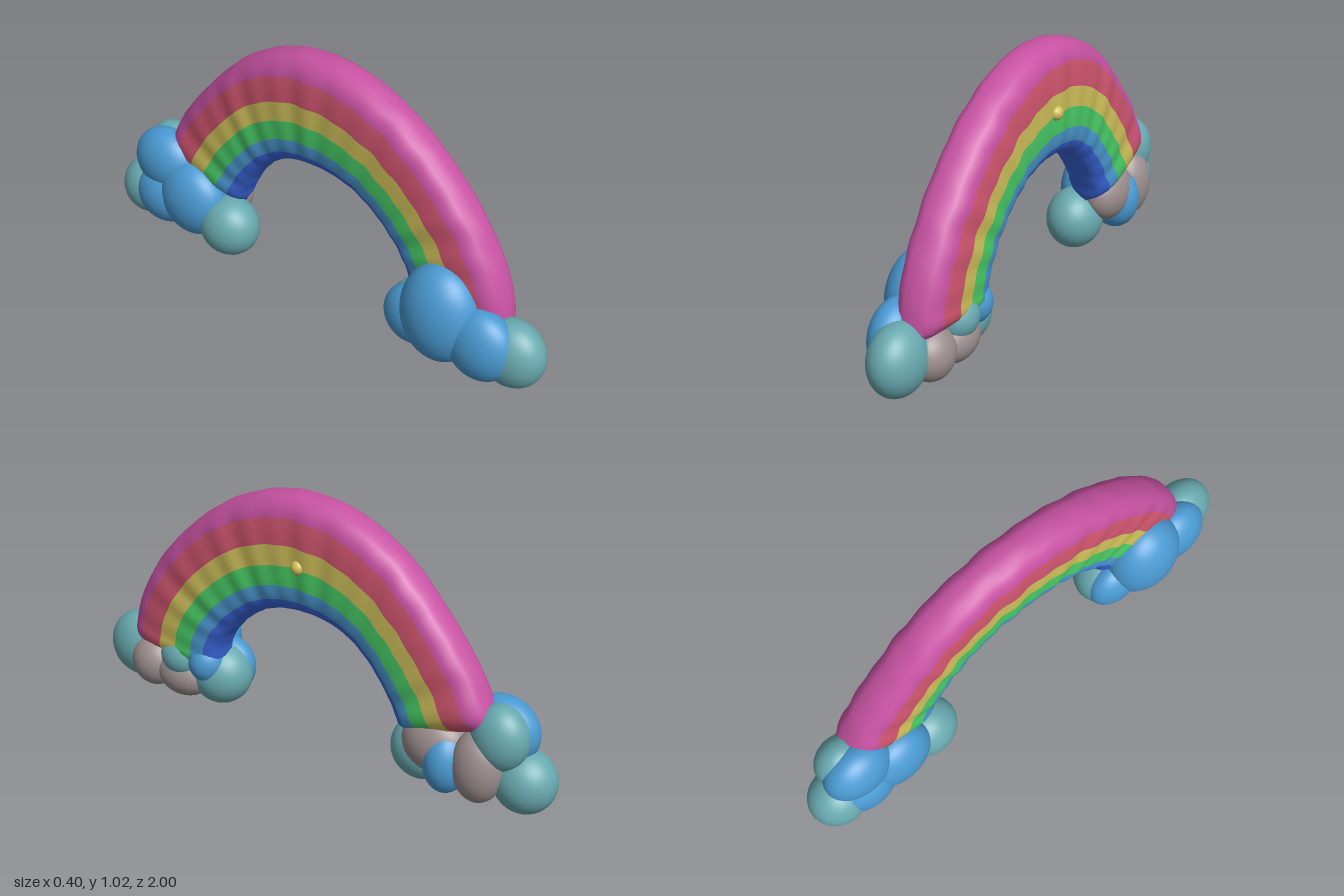
import * as THREE from 'three';

const mat = (name, color) => {
  const m = new THREE.MeshStandardMaterial({ color });
  m.name = name;
  return m;
};

export function createModel() {
  const colors = {
    pink: mat('pink', 0xc853a3), red: mat('red', 0xd0556f), yellow: mat('yellow', 0xcfc05a),
    green: mat('green', 0x48cc66), blue: mat('sky blue', 0x4a9ad2), navy: mat('deep blue', 0x3a66dc),
    teal: mat('teal', 0x68a9af), grey: mat('warm grey', 0x9c8e8e),
  };
  const group = new THREE.Group();
  group.name = 'rainbow';

  // Outer and inner edges of the arch as [z, y]
  const curve = (pts) => new THREE.CatmullRomCurve3(pts.map(([z, y]) => new THREE.Vector3(0, y, z)));
  const outer = curve([[0.85, 0.21], [0.8, 0.42], [0.7, 0.6], [0.57, 0.75], [0.4, 0.89], [0.2, 0.985], [0, 1.015],
    [-0.2, 0.98], [-0.4, 0.87], [-0.56, 0.71], [-0.68, 0.56], [-0.76, 0.42], [-0.79, 0.32]]);
  const inner = curve([[0.42, 0.2], [0.4, 0.31], [0.35, 0.39], [0.27, 0.47], [0.15, 0.54], [0, 0.563],
    [-0.15, 0.54], [-0.25, 0.48], [-0.33, 0.39], [-0.38, 0.31], [-0.42, 0.22]]);

  // Cross-section: depth from the outer edge (0) to the inner edge (1), with band limits
  const half = [0, 0.01, 0.035, 0.08, 0.12, 0.17, 0.28, 0.39, 0.48, 0.565, 0.65, 0.74, 0.81, 0.87, 0.92, 0.96, 0.985, 1];
  const ring = half.map((t) => [t, 1]).concat(half.slice(1, -1).reverse().map((t) => [t, -1]));
  const bands = [['pink', 0.17], ['red', 0.39], ['yellow', 0.565], ['green', 0.74], ['blue', 0.87], ['navy', 1]];
  const N = 90;
  const M = ring.length;
  const positions = [];
  for (let i = 0; i <= N; i++) {
    const u = i / N;
    const o = outer.getPointAt(u);
    const n = inner.getPointAt(u);
    const taper = Math.sqrt(Math.min(1, u / 0.03, (1 - u) / 0.03));
    const ripple = 0.003 * Math.sin(u * 95) + 0.002 * Math.sin(u * 61);
    for (const [t, side] of ring) {
      const w = (0.096 + ripple) * taper * Math.pow(1 - Math.pow(Math.abs(2 * t - 1), 4), 0.4);
      const p = o.clone().lerp(n, t + ripple * (1 - 2 * t));
      positions.push(0.047 - 0.043 * p.z + side * w, p.y, p.z);
    }
  }

  // One strip set per colour band, sharing the smooth normals of the whole arch
  const indices = bands.map(() => []);
  for (let j = 0; j < M; j++) {
    const k = (j + 1) % M;
    const mid = (ring[j][0] + ring[k][0]) / 2;
    const list = indices[bands.findIndex(([, end]) => mid < end)];
    for (let i = 0; i < N; i++) {
      const a = i * M + j, b = i * M + k, c = b + M, d = a + M;
      list.push(a, b, d, b, c, d);
    }
  }
  const whole = new THREE.BufferGeometry();
  whole.setAttribute('position', new THREE.Float32BufferAttribute(positions, 3));
  whole.setIndex(indices.flat());
  whole.computeVertexNormals();
  const arch = new THREE.Group();
  arch.name = 'arch';
  bands.forEach(([color], b) => {
    const g = new THREE.BufferGeometry();
    g.setAttribute('position', whole.attributes.position);
    g.setAttribute('normal', whole.attributes.normal);
    g.setIndex(indices[b]);
    const mesh = new THREE.Mesh(g, colors[color]);
    mesh.name = color + 'Band';
    arch.add(mesh);
  });
  group.add(arch);

  // Rounded puffs: colour, centre, radii
  const sphere = new THREE.SphereGeometry(1, 32, 24);
  const puff = (parent, name, color, [x, y, z], [rx, ry, rz]) => {
    const mesh = new THREE.Mesh(sphere, colors[color]);
    mesh.name = name;
    mesh.position.set(x, y, z);
    mesh.scale.set(rx, ry, rz);
    parent.add(mesh);
  };
  puff(arch, 'bandBump', 'yellow', [0.135, 0.765, 0], [0.028, 0.028, 0.028]);

  const clouds = {
    frontCloud: [
      ['teal', [-0.02, 0.165, 0.865], [0.1, 0.135, 0.135]],
      ['teal', [-0.01, 0.155, 0.465], [0.115, 0.125, 0.125]],
      ['teal', [0.055, 0.22, 0.6], [0.082, 0.085, 0.09]],
      ['blue', [0.05, 0.22, 0.485], [0.08, 0.085, 0.075]],
      ['grey', [0.04, 0.145, 0.75], [0.085, 0.1, 0.1]],
      ['grey', [0.045, 0.135, 0.6], [0.085, 0.09, 0.12]],
      ['blue', [-0.075, 0.25, 0.6], [0.127, 0.2, 0.16]],
      ['blue', [-0.075, 0.19, 0.77], [0.095, 0.145, 0.14]],
      ['blue', [-0.06, 0.17, 0.47], [0.08, 0.12, 0.12]],
    ],
    backCloud: [
      ['teal', [0, 0.122, -0.455], [0.11, 0.122, 0.125]],
      ['grey', [0.09, 0.215, -0.555], [0.09, 0.115, 0.13]],
      ['blue', [0.1, 0.165, -0.61], [0.1, 0.125, 0.085]],
      ['grey', [0.1, 0.18, -0.735], [0.088, 0.14, 0.1]],
      ['teal', [0.02, 0.13, -0.88], [0.11, 0.12, 0.12]],
      ['teal', [0.07, 0.3, -0.8], [0.09, 0.125, 0.11]],
      ['blue', [0.01, 0.295, -0.775], [0.1, 0.135, 0.145]],
      ['blue', [-0.02, 0.19, -0.62], [0.1, 0.155, 0.15]],
      ['blue', [-0.02, 0.15, -0.77], [0.09, 0.12, 0.13]],
    ],
  };
  for (const [name, puffs] of Object.entries(clouds)) {
    const cloud = new THREE.Group();
    cloud.name = name;
    puffs.forEach(([color, c, r]) => puff(cloud, color + 'Puff', color, c, r));
    group.add(cloud);
  }
  return group;
}
